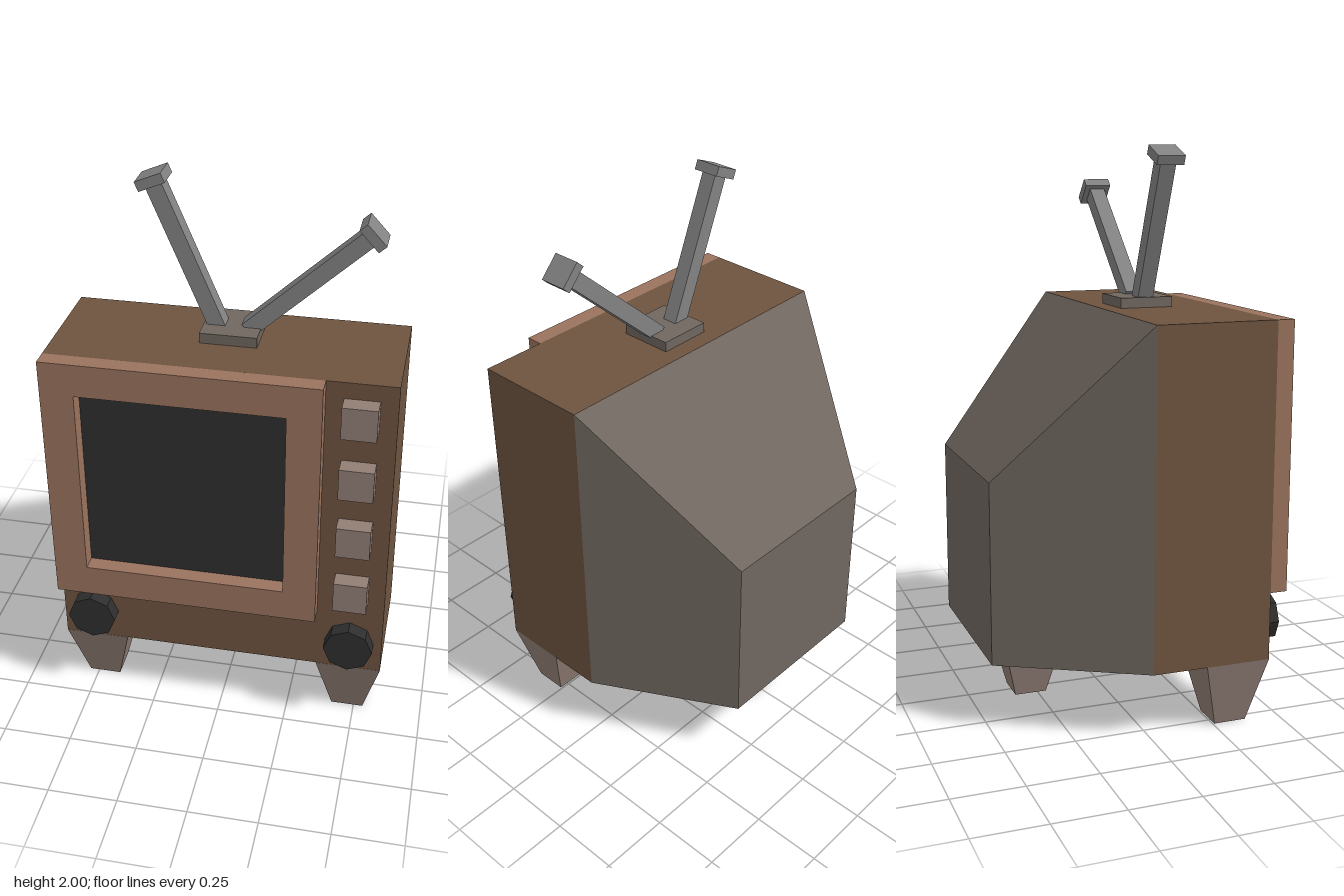
import * as THREE from 'three';

const mat = (name, color) => {
  const m = new THREE.MeshStandardMaterial({ color });
  m.name = name;
  return m;
};

export function createModel() {
  const brown = mat('cabinetBrown', 0x6e5440);
  const copper = mat('bezelBrown', 0x9a735e);
  const taupe = mat('paleTaupe', 0x917e75);
  const casing = mat('warmGrey', 0x70675f);
  const steel = mat('antennaGrey', 0x838383);
  const dark = mat('charcoal', 0x2e2e2e);

  const tv = new THREE.Group();
  tv.name = 'television';

  const add = (name, geo, material, x, y, z, parent = tv) => {
    const mesh = new THREE.Mesh(geo, material);
    mesh.name = name;
    mesh.position.set(x, y, z);
    parent.add(mesh);
    return mesh;
  };
  const box = (w, h, d) => new THREE.BoxGeometry(w, h, d);

  // Move the corners of a box by a rule, then rebuild its flat normals
  const shapedBox = (w, h, d, rule) => {
    const geo = box(w, h, d);
    const p = geo.attributes.position;
    const v = new THREE.Vector3();
    for (let i = 0; i < p.count; i++) {
      rule(v.fromBufferAttribute(p, i));
      p.setXYZ(i, v.x, v.y, v.z);
    }
    geo.computeVertexNormals();
    return geo;
  };

  // Cabinet
  add('cabinet', box(1.186, 1.19, 0.433), brown, 0, 0.835, 0.2165);

  // Rear casing narrows at the sides and slopes down from the top
  const rear = shapedBox(1.186, 1.19, 0.493, (v) => {
    if (v.z < 0) {
      v.x = Math.sign(v.x) * 0.323;
      if (v.y > 0) v.y = 0.053;
    }
  });
  add('rearCasing', rear, casing, 0, 0.835, -0.2465);

  // Bezel frame with the screen opening
  const rect = (Type, x0, y0, x1, y1) => {
    const r = new Type();
    r.moveTo(x0, y0).lineTo(x1, y0).lineTo(x1, y1).lineTo(x0, y1).closePath();
    return r;
  };
  const frame = rect(THREE.Shape, -0.593, 0.482, 0.355, 1.43);
  frame.holes.push(rect(THREE.Path, -0.475, 0.6, 0.238, 1.311));
  add('bezel', new THREE.ExtrudeGeometry(frame, { depth: 0.061, bevelEnabled: false }),
    copper, 0, 0, 0.433);
  add('screen', box(0.713, 0.711, 0.006), dark, -0.1185, 0.9555, 0.434);

  // Channel buttons
  for (let i = 0; i < 4; i++) {
    add('button', box(0.118, 0.118, 0.061), taupe, 0.474, 1.312 - i * 0.236, 0.4635);
  }

  // Octagonal knobs
  for (const x of [-0.475, 0.475]) {
    const geo = new THREE.CylinderGeometry(0.088, 0.088, 0.052, 8).toNonIndexed();
    geo.computeVertexNormals();
    geo.rotateX(Math.PI / 2);
    add('knob', geo, dark, x, 0.36, 0.459);
  }

  // Tapered legs: two in front, one behind
  for (const [name, x, z] of [
    ['frontLeftLeg', 0.475, 0.316], ['frontRightLeg', -0.475, 0.316], ['rearLeg', 0, -0.276],
  ]) {
    const leg = shapedBox(0.236, 0.24, 0.236, (v) => {
      if (v.y < 0) { v.x *= 0.5; v.z *= 0.5; }
    });
    add(name, leg, taupe, x, 0.12, z);
  }

  // Antenna base, rods and tips
  add('antennaBase', box(0.197, 0.037, 0.197), casing, 0, 1.4485, 0.163);
  for (const [name, x0, x1, y1] of [
    ['rightAntenna', -0.05, -0.264, 1.966], ['leftAntenna', 0.052, 0.461, 1.832],
  ]) {
    const y0 = 1.455;
    const length = Math.hypot(x1 - x0, y1 - y0);
    const antenna = new THREE.Group();
    antenna.name = name;
    antenna.position.set(x0, y0, 0.163);
    antenna.rotation.z = -Math.atan2(x1 - x0, y1 - y0);
    tv.add(antenna);
    add('rod', box(0.058, length, 0.058), steel, 0, length / 2, 0, antenna);
    add('tip', box(0.096, 0.035, 0.1), steel, 0, length, 0, antenna);
  }

  return tv;
}
